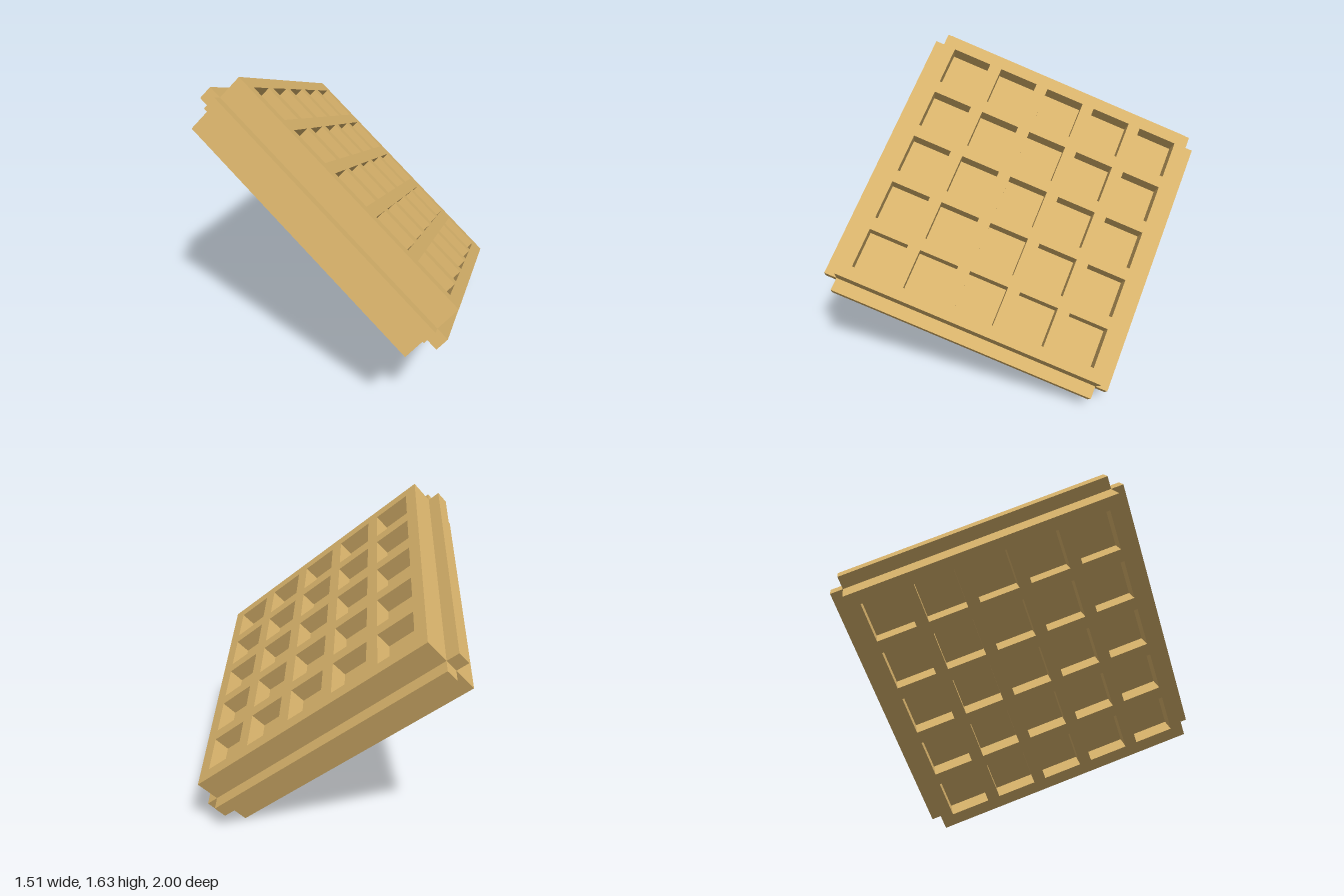
import * as THREE from 'three';

export function createModel() {
  const model = new THREE.Group();
  model.name = 'waffleBlock';
  const tan = new THREE.MeshStandardMaterial({ color: 0xd6b16a });
  tan.name = 'waffle tan';

  const half = 0.725;      // half the side of the square block
  const halfThick = 0.169; // half its thickness
  const depth = 0.09;      // pocket depth
  const cells = 5;
  const rib = 0.066;
  const pocket = (2 * half - rib * (cells + 1)) / cells;

  // Tilted block: local x and y lie in the slab, z is its thickness
  const block = new THREE.Group();
  block.name = 'tiltedBlock';
  const u = new THREE.Vector3(0.705, -0.609, 0.363).normalize();
  const v = new THREE.Vector3(0.173, -0.346, -0.923);
  v.addScaledVector(u, -u.dot(v)).normalize();
  const n = new THREE.Vector3().crossVectors(u, v);
  block.quaternion.setFromRotationMatrix(new THREE.Matrix4().makeBasis(u, v, n));
  block.position.y = 0.815;
  model.add(block);

  function add(geometry, name) {
    const mesh = new THREE.Mesh(geometry, tan);
    mesh.name = name;
    block.add(mesh);
    return mesh;
  }

  const rectangle = (path, x, y, w) => {
    path.moveTo(x, y);
    path.lineTo(x + w, y);
    path.lineTo(x + w, y + w);
    path.lineTo(x, y + w);
    path.closePath();
    return path;
  };

  // Solid middle that forms the pocket floors
  add(new THREE.BoxGeometry(2 * half, 2 * half, 2 * (halfThick - depth)), 'core');

  // Grid of ribs on both faces
  const grid = rectangle(new THREE.Shape(), -half, -half, 2 * half);
  for (let i = 0; i < cells; i++) {
    for (let j = 0; j < cells; j++) {
      const x = -half + rib + i * (pocket + rib);
      const y = -half + rib + j * (pocket + rib);
      grid.holes.push(rectangle(new THREE.Path(), x, y, pocket));
    }
  }
  const gridGeometry = new THREE.ExtrudeGeometry(grid, { depth, bevelEnabled: false });
  add(gridGeometry, 'upperGrid').position.z = halfThick - depth;
  add(gridGeometry, 'lowerGrid').position.z = -halfThick;

  // Raised strip along each side, leaving the corners open
  const out = 0.068;
  const stripGeometry = new THREE.BoxGeometry(out, 2 * half, 0.072);
  for (let i = 0; i < 4; i++) {
    const angle = i * Math.PI / 2;
    const strip = add(stripGeometry, 'edgeStrip');
    strip.rotation.z = angle;
    strip.position.set(Math.cos(angle), Math.sin(angle), 0).multiplyScalar(half + out / 2);
  }

  return model;
}
